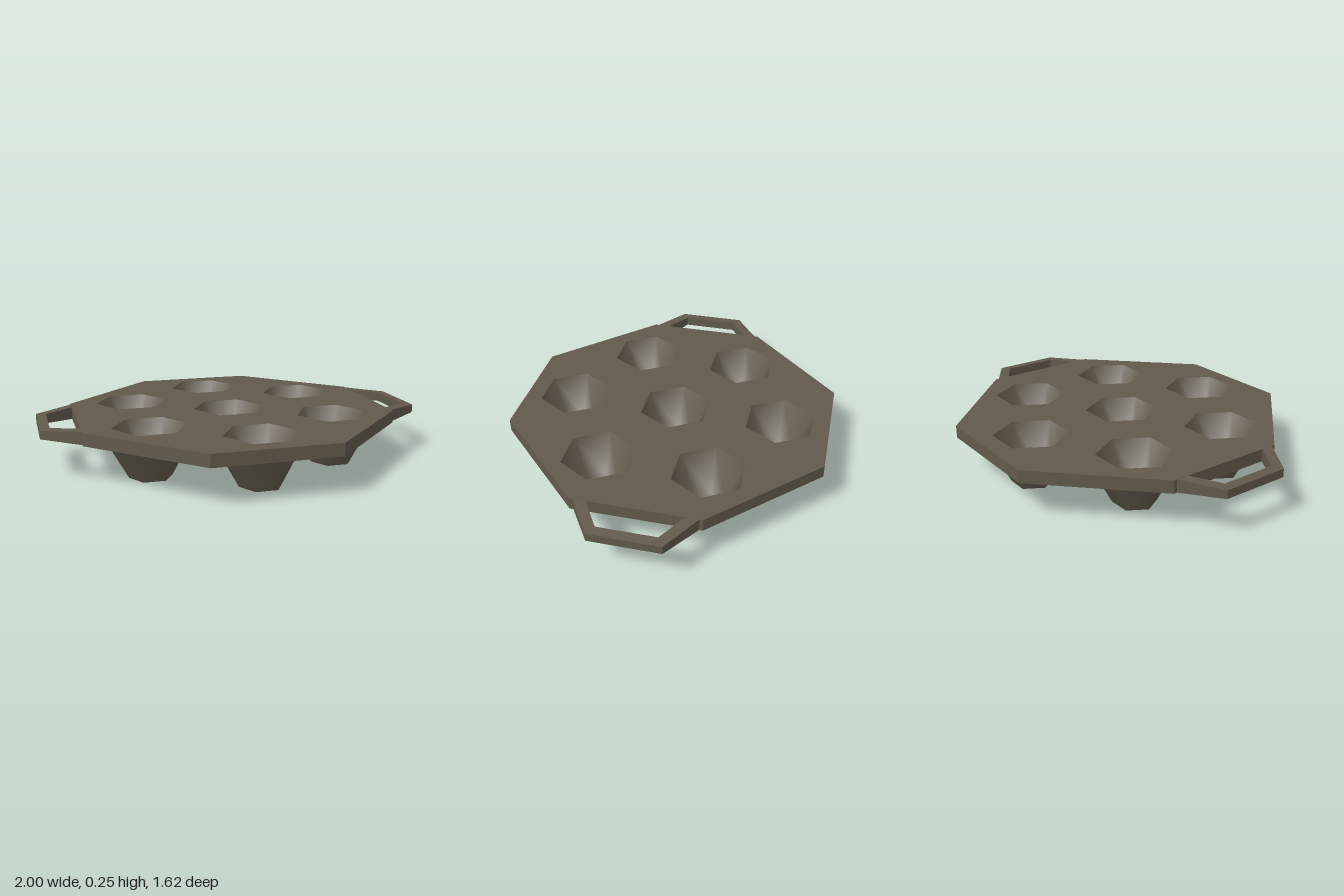
import * as THREE from 'three';

const TOP = 0.255, UNDER = 0.19, MID = (TOP + UNDER) / 2;
const CUPS = [[0, 0], [0, 0.555], [0, -0.555],
  [0.48, 0.275], [0.48, -0.275], [-0.48, 0.275], [-0.48, -0.275]];

const toPoints = list => list.map(([x, y]) => new THREE.Vector2(x, y));

// Extrudes a plan outline upwards from the underside of the plate
function slab(shape) {
  const g = new THREE.ExtrudeGeometry(shape, { depth: TOP - UNDER, bevelEnabled: false });
  return g.rotateX(-Math.PI / 2).translate(0, UNDER, 0);
}

function hexagon(cx, cy, r) {
  const pts = [];
  for (let i = 0; i < 6; i++) {
    const a = i * Math.PI / 3;
    pts.push(new THREE.Vector2(cx + r * Math.cos(a), cy + r * Math.sin(a)));
  }
  return new THREE.Path(pts);
}

export function createModel() {
  const model = new THREE.Group();
  model.name = 'muffinPan';
  const iron = new THREE.MeshStandardMaterial({ color: 0x625a4b });
  iron.name = 'castIron';
  const add = (name, geometry, parent = model) => {
    const mesh = new THREE.Mesh(geometry, iron);
    mesh.name = name;
    parent.add(mesh);
    return mesh;
  };

  // Octagonal plate with a hexagonal opening over each cup
  const w = 0.81, c = 0.315;
  const outline = new THREE.Shape(toPoints([
    [w, -c], [w, c], [c, w], [-c, w], [-w, c], [-w, -c], [-c, -w], [c, -w]]));
  for (const [x, z] of CUPS) outline.holes.push(hexagon(x, -z, 0.19));
  add('plate', slab(outline));

  // Cups: smooth tapered outside, flat base and hollow inside
  const wall = new THREE.CylinderGeometry(0.215, 0.11, UNDER, 6, 1, true, Math.PI / 2)
    .translate(0, UNDER / 2, 0);
  const base = new THREE.CircleGeometry(0.11, 6).rotateX(Math.PI / 2);
  const hollow = new THREE.LatheGeometry(
    toPoints([[0.19, TOP], [0.09, 0.035], [0, 0.035]]), 6, Math.PI / 2);
  for (const [x, z] of CUPS) {
    const cup = new THREE.Group();
    cup.name = 'cup';
    cup.position.set(x, 0, z);
    add('cupWall', wall, cup);
    add('cupBase', base, cup);
    add('cupHollow', hollow, cup);
    model.add(cup);
  }

  // Loop handles, thinner towards their outer bar
  const loop = new THREE.Shape(toPoints([
    [0.8, -0.3], [0.81, -0.297], [1, -0.175], [1, 0.175], [0.81, 0.297], [0.8, 0.3],
    [0.8, 0.235], [0.81, 0.232], [0.95, 0.145], [0.95, -0.145], [0.81, -0.232], [0.8, -0.235]]));
  const handle = slab(loop);
  const p = handle.attributes.position;
  for (let i = 0; i < p.count; i++) {
    const t = Math.max(0, (p.getX(i) - 0.81) / 0.19);
    p.setY(i, MID + (p.getY(i) - MID) * (0.99 - 0.33 * t));
  }
  handle.computeVertexNormals();
  add('leftHandle', handle);
  add('rightHandle', handle).rotation.y = Math.PI;

  return model;
}
